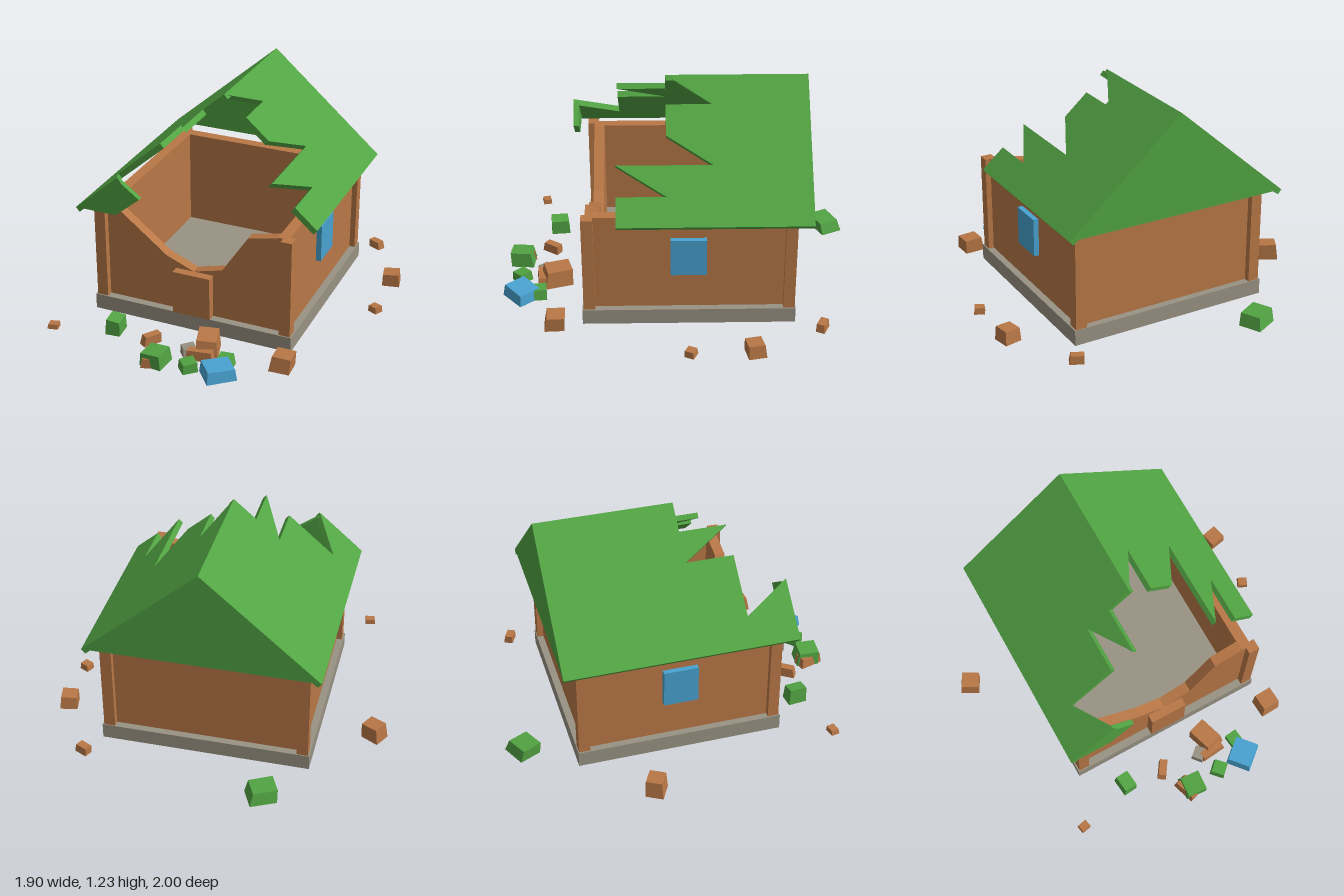
import * as THREE from 'three';

const paint = (name, color) => new THREE.MeshStandardMaterial({ name, color, side: THREE.DoubleSide, flatShading: true });

export function createModel() {
  const house = new THREE.Group();
  house.name = 'ruinedHouse';
  const wood = paint('brownWood', 0xb87746);
  const green = paint('greenRoof', 0x52a443);
  const stone = paint('greyStone', 0x999283);
  const glass = paint('blueGlass', 0x48a2d0);
  const CX = 0.02, CZ = -0.05, BASE = 0.09, TOP = 0.66;

  function add(name, geometry, material, parent = house) {
    const mesh = new THREE.Mesh(geometry, material);
    mesh.name = name;
    parent.add(mesh);
    return mesh;
  }
  // Box given by its lower and upper corners
  function block(name, material, x0, y0, z0, x1, y1, z1) {
    const g = new THREE.BoxGeometry(x1 - x0, y1 - y0, z1 - z0);
    g.translate((x0 + x1) / 2, (y0 + y1) / 2, (z0 + z1) / 2);
    return add(name, g, material);
  }
  // Flat outline thickened towards +z
  function slab(points, depth) {
    const shape = new THREE.Shape(points.map(p => new THREE.Vector2(p[0], p[1])));
    return new THREE.ExtrudeGeometry(shape, { depth, bevelEnabled: false });
  }

  // Foundation: a floor and four thin sides, hollow underneath
  const foundation = new THREE.BoxGeometry(1.18, BASE, 1.17);
  const faces = Array.from(foundation.index.array);
  faces.splice(18, 6); // leave the underside open
  foundation.setIndex(faces);
  foundation.clearGroups();
  foundation.translate(CX, BASE / 2, CZ);
  add('foundation', foundation, stone);

  // Whole walls, side windows and corner posts
  block('backWall', wood, -0.53, BASE, -0.595, 0.57, TOP, -0.53);
  for (const s of [-1, 1]) {
    const side = s > 0 ? 'left' : 'right';
    const span = (a, b) => [Math.min(CX + s * a, CX + s * b), Math.max(CX + s * a, CX + s * b)];
    const [w0, w1] = span(0.488, 0.55);
    block(side + 'Wall', wood, w0, BASE, -0.595, w1, TOP, 0.49);
    const [g0, g1] = span(0.54, 0.58);
    block(side + 'Window', glass, g0, 0.31, -0.145, g1, 0.53, 0.05);
    const [p0, p1] = span(0.517, 0.581);
    block(side + 'FrontPost', wood, p0, BASE, 0.465, p1, TOP, 0.528);
    block(side + 'BackPost', wood, p0, BASE, -0.63, p1, TOP, -0.567);
  }

  // Front wall with its broken top, and the door
  add('brokenFrontWall', slab([
    [-0.53, BASE], [0.57, BASE], [0.57, TOP], [0.5, 0.655], [0.34, 0.62],
    [0.19, 0.39], [0.02, 0.345], [-0.14, 0.41], [-0.46, TOP], [-0.53, TOP],
  ], 0.06).translate(0, 0, 0.43), wood);
  block('door', wood, -0.085, BASE, 0.48, 0.135, 0.345, 0.54);

  // Roof slopes: outlines are (distance from ridge, z), laid on the slope
  const RIDGE = 1.23, HALF = 0.653, THICK = 0.033;
  const pitch = Math.atan2(0.57, HALF), c = Math.cos(pitch), n = Math.sin(pitch);
  function slope(name, s, outline) {
    const g = slab(outline.map(([d, z]) => [d / c, z]), THICK);
    const m = new THREE.Matrix4().makeBasis(
      new THREE.Vector3(s * c, -n, 0), new THREE.Vector3(0, 0, 1), new THREE.Vector3(-n, -s * c, 0));
    m.setPosition(CX + (s < 0 ? n * THICK : 0), RIDGE - (s < 0 ? c * THICK : 0), 0);
    add(name, g.applyMatrix4(m), green);
  }
  slope('leftRoofSlope', 1, [
    [0, -0.71], [0, 0.07], [0.13, -0.18], [0.13, 0.07], [0.265, 0.07], [0.392, -0.18],
    [0.392, 0.34], [0.525, 0.07], [0.525, 0.34], [HALF, 0.34], [HALF, -0.71],
  ]);
  slope('rightRoofSlope', -1, [
    [0, -0.71], [0, 0.07], [0.127, 0.07], [0.127, 0.34], [0.26, 0.07], [0.26, 0.34],
    [0.523, 0.34], [0.392, 0.6], [HALF, 0.6], [HALF, -0.71],
  ]);

  // Whole back gable and the surviving corner of the front gable
  add('backGable', slab([[-0.615, TOP], [0.655, TOP], [CX, 1.212]], 0.03).translate(0, 0, -0.709), green);
  add('frontGableFragment', slab([
    [-0.615, TOP], [-0.39, TOP], [-0.245, 0.78], [-0.37, 0.872],
  ], 0.03).translate(0, 0, 0.57), green);

  // Rubble: skewed blocks around the house
  let seed = 7;
  const rand = () => (seed = (seed * 16807) % 2147483647) / 2147483647 - 0.5;
  const rubble = new THREE.Group();
  rubble.name = 'rubble';
  house.add(rubble);
  function chunk(material, x, z, w, h, d, turn) {
    const g = new THREE.BoxGeometry(w, h, d).translate(0, h / 2, 0);
    const p = g.attributes.position;
    const lean = [rand() * 0.2, rand() * 0.2], tilt = rand() * 0.25;
    for (let i = 0; i < p.count; i++) {
      const vx = p.getX(i), vy = p.getY(i), vz = p.getZ(i);
      const k = vy / h, taper = 1 - 0.1 * k;
      p.setXYZ(i, vx * taper + lean[0] * w * k, vy * (0.94 + tilt * vx / w), vz * taper + lean[1] * d * k);
    }
    g.computeVertexNormals();
    const mesh = add('rubbleBlock', g, material, rubble);
    mesh.position.set(x, 0, z);
    mesh.rotation.y = turn;
  }
  const pieces = [
    // material, x, z, width, height, depth, turn
    [green, -0.36, -0.91, 0.15, 0.075, 0.13, 0.45],
    [wood, 0.68, -0.78, 0.08, 0.05, 0.05, -0.45],
    [wood, 0.89, -0.4, 0.1, 0.08, 0.1, 0.2],
    [wood, 0.9, -0.055, 0.06, 0.04, 0.055, -0.45],
    [wood, -0.88, -0.28, 0.11, 0.1, 0.1, -0.5],
    [green, -0.355, 0.71, 0.085, 0.095, 0.11, 0.1],
    [wood, -0.69, 0.815, 0.06, 0.03, 0.05, 0.2],
    [wood, -0.125, 0.745, 0.05, 0.06, 0.105, -0.6],
    [wood, -0.05, 0.91, 0.08, 0.06, 0.14, 0.3],
    [green, -0.015, 0.905, 0.125, 0.09, 0.13, -0.08],
    [stone, 0.115, 0.765, 0.08, 0.055, 0.07, 0.7],
    [wood, 0.2, 0.7, 0.12, 0.108, 0.16, 0.3],
    [wood, 0.19, 0.785, 0.15, 0.06, 0.05, 0.1],
    [green, 0.17, 0.9, 0.085, 0.06, 0.085, 0.75],
    [green, 0.345, 0.79, 0.08, 0.065, 0.08, 0.1],
    [glass, 0.34, 0.89, 0.165, 0.07, 0.145, 0.7],
    [wood, 0.62, 0.69, 0.115, 0.09, 0.11, 0.05],
  ];
  pieces.forEach(p => chunk(...p));

  return house;
}
